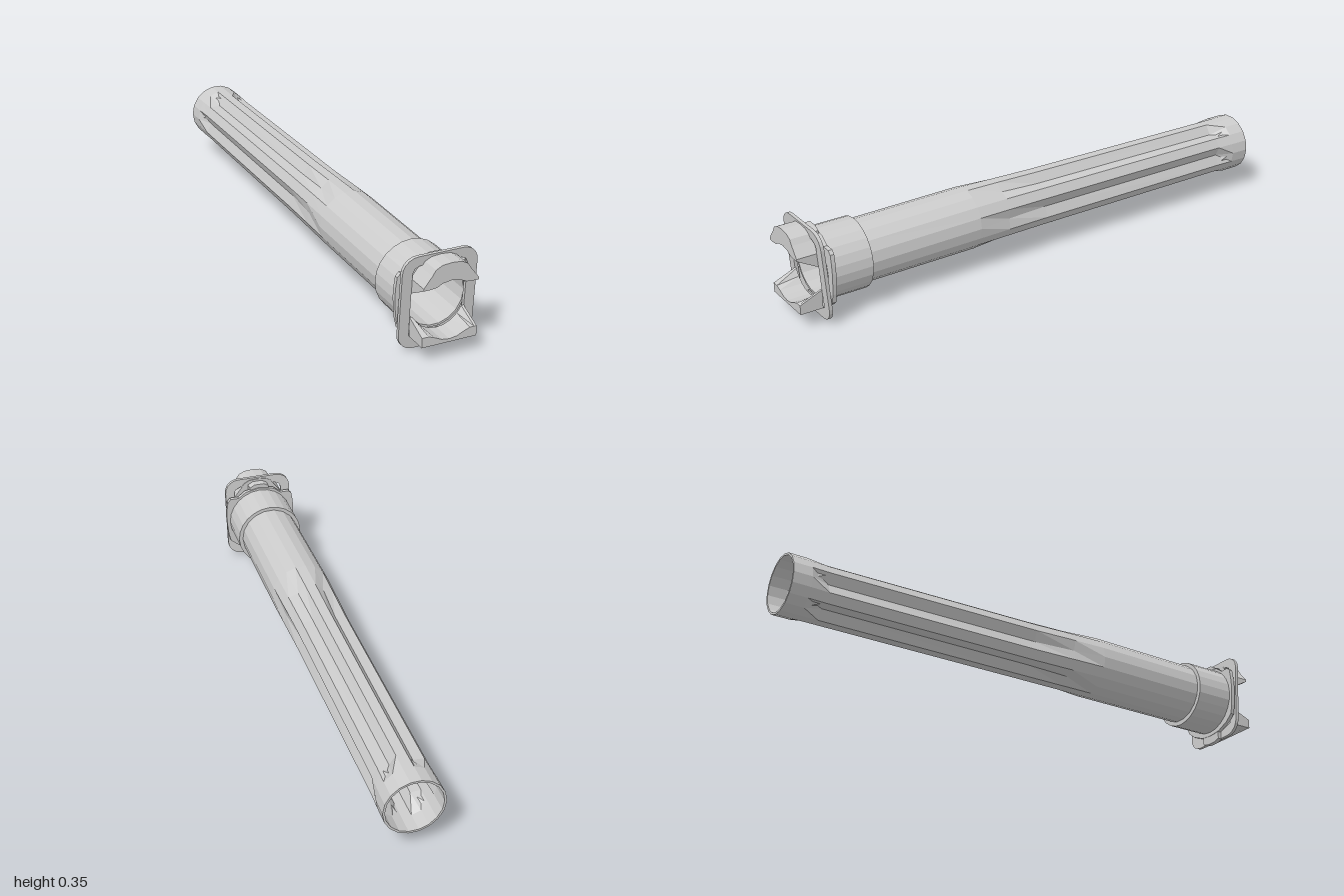
import * as THREE from 'three';

const steel = new THREE.MeshStandardMaterial({ color: 0xcccccc, flatShading: true, side: THREE.DoubleSide });
steel.name = 'light grey';
const CY = 0.178; // bore height

const pts = (list) => list.map(([x, y]) => new THREE.Vector2(x, y));
// points on an ellipse arc around the bore, angles in degrees
const arc = (rx, ry, from, to, n, cy = CY) => Array.from({ length: n + 1 }, (_, i) => {
  const a = THREE.MathUtils.degToRad(from + (to - from) * i / n);
  return [rx * Math.cos(a), cy + ry * Math.sin(a)];
});
// close a right-hand half outline with its mirror image
const mirrored = (half) => [...half, ...[...half].reverse().filter(([x]) => x > 0).map(([x, y]) => [-x, y])];

// Extrude a front outline between two depths, then optionally move vertices
function plate(name, outline, hole, z0, z1, move) {
  const shape = new THREE.Shape(pts(outline));
  if (hole) shape.holes.push(new THREE.Path(pts(hole)));
  const geo = new THREE.ExtrudeGeometry(shape, { depth: z1 - z0, bevelEnabled: false });
  geo.translate(0, 0, z0);
  if (move) {
    const p = geo.attributes.position, v = new THREE.Vector3();
    for (let i = 0; i < p.count; i++) {
      move(v.fromBufferAttribute(p, i));
      p.setXYZ(i, v.x, v.y, v.z);
    }
    geo.computeVertexNormals();
  }
  const mesh = new THREE.Mesh(geo, steel);
  mesh.name = name;
  return mesh;
}

// Rounded rectangle outline
function roundedRect(w, y0, y1, r) {
  const out = [];
  [[w - r, y1 - r, 0], [r - w, y1 - r, 90], [r - w, y0 + r, 180], [w - r, y0 + r, 270]].forEach(([x, y, a]) => {
    arc(r, r, a, a + 90, 5, y).forEach(([px, py]) => out.push([px + x, py]));
  });
  return out;
}

// Hollow 18-sided tube with six V-shaped flutes pressed into its wall
function flutedTube() {
  const N = 18, WALL = 0.008;
  // z, radius, centre height, flute depth, sideways squeeze
  const stations = [
    [0.9, 0.114, 0.179, 0, 1], [0.72, 0.115, 0.18, 0, 1], [0.28, 0.117, 0.184, 0, 0.99],
    [0.15, 0.116, 0.183, 0.015, 0.97], [-0.02, 0.114, 0.181, 0.024, 0.95], [-0.86, 0.11, 0.177, 0.025, 0.965],
    [-0.93, 0.11, 0.177, 0, 0.99], [-1, 0.11, 0.177, 0, 1],
  ];
  const rings = [
    ...stations.map((s) => [...s, 0]),
    ...[...stations].reverse().map((s) => [...s, WALL]),
  ];
  const pos = [], index = [];
  rings.forEach(([z, r, cy, depth, squeeze, inset], s) => {
    for (let k = 0; k < N; k++) {
      const a = k / N * Math.PI * 2;
      const rad = r - inset - (k % 3 === 0 ? depth : 0);
      pos.push(rad * squeeze * Math.cos(a), cy + rad * Math.sin(a), z);
      const k2 = (k + 1) % N, s2 = (s + 1) % rings.length;
      const A = s * N + k, B = s * N + k2, C = s2 * N + k, D = s2 * N + k2;
      index.push(A, C, B, B, C, D);
    }
  });
  const geo = new THREE.BufferGeometry();
  geo.setAttribute('position', new THREE.Float32BufferAttribute(pos, 3));
  geo.setIndex(index);
  geo.computeVertexNormals();
  const mesh = new THREE.Mesh(geo, steel);
  mesh.name = 'flutedTube';
  return mesh;
}

export function createModel() {
  const model = new THREE.Group();
  model.name = 'flutedBarrel';
  model.add(flutedTube());

  // Sleeve around the front of the tube
  model.add(plate('collar', arc(0.13, 0.13, 0, 345, 23), arc(0.11, 0.11, 0, 345, 23), 0.73, 0.895));

  // Thin disc behind the flange with bowed sides, a bottom tab and a top knob
  model.add(plate('rearDisc', mirrored([
    [0, 0.033], [0.05, 0.038], [0.1, 0.06], [0.13, 0.085], [0.138, 0.12], [0.142, 0.16], [0.144, 0.2],
    [0.142, 0.235], [0.137, 0.27], [0.125, 0.283], [0.09, 0.283], [0.06, 0.306], [0, 0.318],
  ]), arc(0.11, 0.11, 0, 345, 23), 0.88, 0.895));
  model.add(plate('bottomTab', mirrored([[0.02, 0.001], [0.045, 0.009], [0.045, 0.06]]), null, 0.882, 0.9));
  model.add(plate('topKnob', mirrored([[0.04, 0.285], [0.04, 0.32], [0.02, 0.332]]), null, 0.885, 0.92));

  // Leaning rounded flange with an opening that bows down at the bottom
  const opening = mirrored([
    [0, 0.033], [0.045, 0.038], [0.075, 0.05], [0.1, 0.06], [0.1, 0.29], [0.093, 0.305], [0.075, 0.314],
  ]);
  model.add(plate('flange', roundedRect(0.137, 0.01, 0.348, 0.055), opening, 0.915, 0.928,
    (v) => { v.z += (v.y - 0.3) * 0.07; }));

  // Upper jaw: arch whose cheeks slope up towards the front
  model.add(plate('upperJaw', [
    [0.1, 0.215], [0.1, 0.27], [0.07, 0.308], [0.058, 0.327], [0.035, 0.339], [0, 0.342],
    [-0.035, 0.339], [-0.058, 0.327], [-0.07, 0.308], [-0.1, 0.27], [-0.1, 0.215],
    ...arc(0.102, 0.102, 155, 25, 8),
  ], null, 0.915, 1, (v) => { if (v.z > 0.99) v.y = Math.max(v.y, 0.262); }));

  // Lower jaw: cradle that thins towards the front
  model.add(plate('lowerJaw', [
    [-0.1, 0.13], [-0.1, 0.06], [-0.075, 0.05], [-0.045, 0.038], [0, 0.034],
    [0.045, 0.038], [0.075, 0.05], [0.1, 0.06], [0.1, 0.13],
    ...arc(0.102, 0.107, 333, 207, 8),
  ], null, 0.915, 1, (v) => { if (v.z > 0.99) v.y = THREE.MathUtils.clamp(v.y, 0.06, 0.095); }));

  return model;
}
